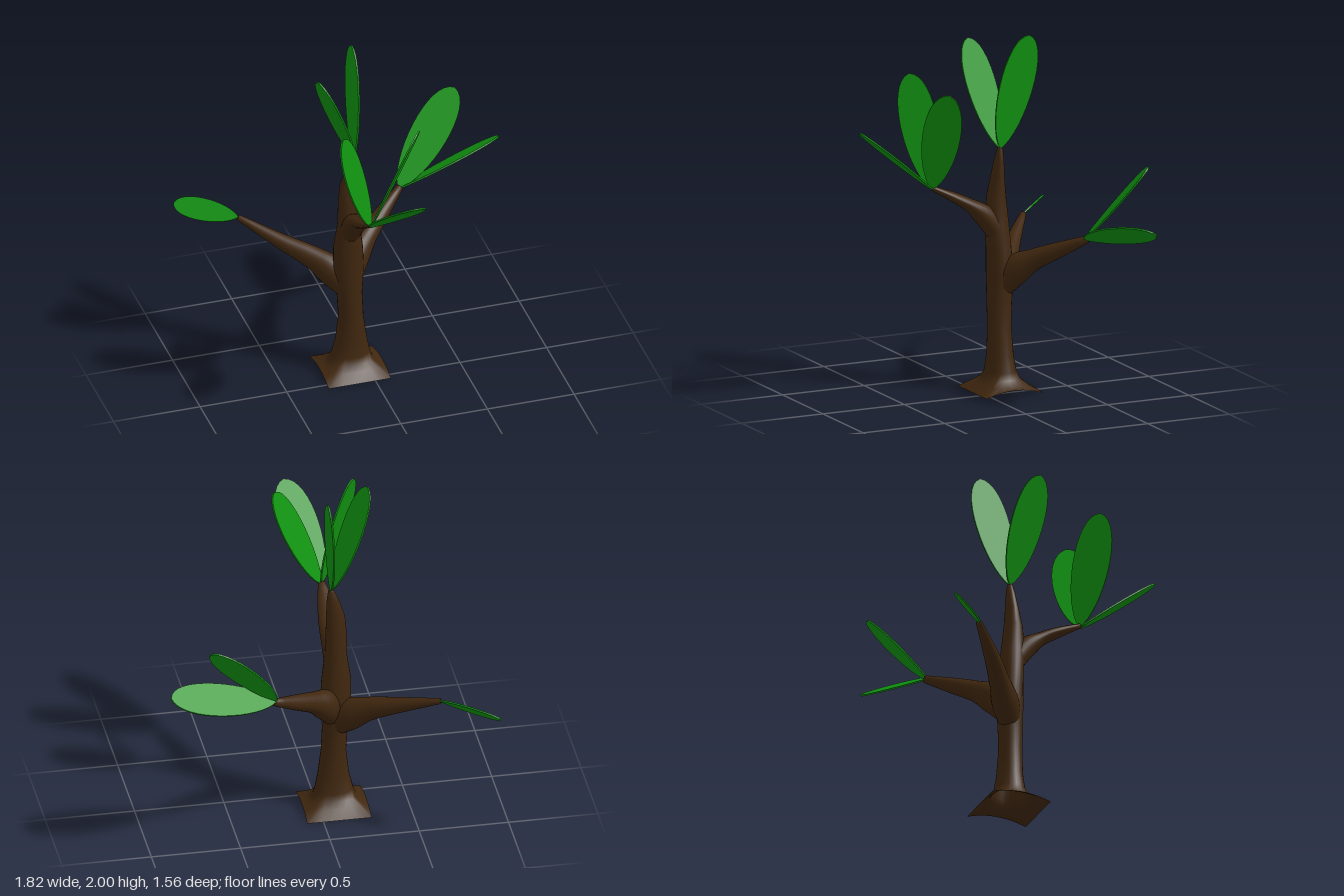
import * as THREE from 'three';

const SEG = 24;
const bark = new THREE.MeshStandardMaterial({ color: 0x40270f, side: THREE.DoubleSide });
bark.name = 'brown bark';
const green = new THREE.MeshStandardMaterial({ color: 0x119411 });
green.name = 'leaf green';

// Closed skin over a list of rings, each an array of SEG points
function skin(rings) {
  const pos = [], idx = [];
  rings.forEach((ring) => ring.forEach((p) => pos.push(p.x, p.y, p.z)));
  for (let i = 0; i < rings.length - 1; i++) {
    for (let j = 0; j < SEG; j++) {
      const k = (j + 1) % SEG;
      const a = i * SEG + j, b = a + SEG, c = i * SEG + k, d = c + SEG;
      idx.push(a, b, c, c, b, d);
    }
  }
  const g = new THREE.BufferGeometry();
  g.setAttribute('position', new THREE.Float32BufferAttribute(pos, 3));
  g.setIndex(idx);
  g.computeVertexNormals();
  return g;
}

const ringOf = (fn) => Array.from({ length: SEG }, (_, j) => {
  const a = (j / SEG) * Math.PI * 2;
  return fn(Math.cos(a), Math.sin(a));
});

// Trunk: square arched foot blending into a round tapering stem
function trunkGeometry() {
  // y, centre x, centre z, radius x, radius z, squareness
  const rows = [
    [0, -0.09, -0.135, 0.18, 0.175, 1],
    [0.042, -0.09, -0.135, 0.145, 0.125, 0.6],
    [0.072, -0.09, -0.135, 0.12, 0.096, 0.25],
    [0.11, -0.09, -0.133, 0.108, 0.085, 0],
    [0.2, -0.088, -0.13, 0.088, 0.072, 0],
    [0.35, -0.09, -0.127, 0.07, 0.066, 0],
    [0.5, -0.097, -0.13, 0.071, 0.07, 0],
    [0.65, -0.1, -0.135, 0.085, 0.075, 0],
    [0.8, -0.105, -0.13, 0.083, 0.068, 0],
    [0.95, -0.105, -0.118, 0.062, 0.068, 0],
    [1.1, -0.107, -0.117, 0.058, 0.052, 0],
    [1.2, -0.102, -0.122, 0.053, 0.036, 0],
    [1.3, -0.088, -0.124, 0.035, 0.026, 0],
    [1.365, -0.078, -0.125, 0.018, 0.015, 0],
    [1.375, -0.077, -0.125, 0.001, 0.001, 0],
  ];
  return skin(rows.map(([y, cx, cz, rx, rz, sq]) => ringOf((c, s) => {
    const f = 1 + sq * (1 / Math.max(Math.abs(c), Math.abs(s)) - 1);
    const arch = y === 0 ? 0.03 * (1 - Math.min(1, (s * f) ** 2)) : 0;
    return new THREE.Vector3(cx + c * f * rx, y + arch, cz + s * f * rz);
  })));
}

// Branch: tapered oval tube; each row is x, y, z, side radius, upright radius
function branchGeometry(rows) {
  const path = new THREE.CatmullRomCurve3(rows.map((r) => new THREE.Vector3(r[0], r[1], r[2])));
  const radii = new THREE.CatmullRomCurve3(rows.map((r) => new THREE.Vector3(r[3], r[4], 0)));
  const steps = 14, rings = [];
  for (let i = 0; i <= steps + 1; i++) {
    const t = Math.min(i / steps, 1);
    const p = path.getPoint(t), tan = path.getTangent(t), r = radii.getPoint(t);
    if (i > steps) r.multiplyScalar(0.02); // closed tip
    const u = tan.clone().cross(new THREE.Vector3(0, 1, 0)).normalize();
    const v = u.clone().cross(tan);
    rings.push(ringOf((c, s) => p.clone().addScaledVector(u, c * r.x).addScaledVector(v, s * r.y)));
  }
  return skin(rings);
}

// Leaf: thin oval blade from base to tip, spread along the across direction
function makeLeaf(base, tip, across, halfWidth = 0.105) {
  const b = new THREE.Vector3(...base);
  const d = new THREE.Vector3(...tip).sub(b);
  const len = d.length(), w = halfWidth / 0.75, thick = 0.009;
  const shape = new THREE.Shape();
  shape.moveTo(0, 0);
  shape.bezierCurveTo(w * 0.88, len * 0.18, w * 1.12, len * 0.95, 0, len);
  shape.bezierCurveTo(-w * 1.12, len * 0.95, -w * 0.88, len * 0.18, 0, 0);
  const g = new THREE.ExtrudeGeometry(shape, { depth: thick, bevelEnabled: false, curveSegments: 16 });
  g.translate(0, 0, -thick / 2);
  d.normalize();
  const x = new THREE.Vector3(...across);
  x.addScaledVector(d, -x.dot(d)).normalize();
  g.applyMatrix4(new THREE.Matrix4().makeBasis(x, d, x.clone().cross(d)).setPosition(b));
  return new THREE.Mesh(g, green);
}

export function createModel() {
  const tree = new THREE.Group();
  tree.name = 'tree';
  const add = (mesh, name) => { mesh.name = name; tree.add(mesh); };

  add(new THREE.Mesh(trunkGeometry(), bark), 'trunk');

  const branches = {
    rightBranch: [
      [-0.1, 0.52, -0.13, 0.06, 0.07], [-0.17, 0.605, -0.19, 0.075, 0.09],
      [-0.26, 0.67, -0.26, 0.058, 0.068], [-0.4, 0.735, -0.36, 0.045, 0.046],
      [-0.61, 0.838, -0.53, 0.018, 0.016],
    ],
    leftBranch: [
      [-0.09, 0.58, -0.13, 0.06, 0.07], [-0.03, 0.685, -0.2, 0.07, 0.085],
      [0.05, 0.75, -0.27, 0.055, 0.06], [0.16, 0.815, -0.36, 0.042, 0.045],
      [0.3, 0.895, -0.47, 0.02, 0.022],
    ],
    frontBranch: [
      [-0.1, 0.9, -0.11, 0.06, 0.06], [-0.1, 0.99, -0.04, 0.062, 0.06],
      [-0.1, 1.06, 0.05, 0.06, 0.037], [-0.105, 1.115, 0.15, 0.053, 0.028],
      [-0.1, 1.18, 0.28, 0.02, 0.014],
    ],
  };
  for (const [name, rows] of Object.entries(branches)) add(new THREE.Mesh(branchGeometry(rows), bark), name);

  // base, tip, across direction, half width
  const top = [-0.075, 1.365, -0.125], front = [-0.1, 1.17, 0.28], left = [0.29, 0.895, -0.46];
  const leaves = {
    topBackLeaf: [top, [-0.035, 2, -0.285], [0.006, 0.025, 0.1]],
    topRightLeaf: [top, [-0.3, 1.955, -0.035], [0.03, -0.004, 0.1]],
    frontMiddleLeaf: [front, [0.02, 1.565, 0.775], [0.1, -0.012, -0.015]],
    frontLeftLeaf: [front, [0.165, 1.762, 0.31], [0.05, -0.0225, -0.085]],
    frontRightLeaf: [front, [-0.285, 1.795, 0.33], [-0.06, -0.02, 0.08]],
    leftUpperLeaf: [left, [0.68, 1.36, -0.66], [0.071, -0.032, 0.065]],
    leftLowerLeaf: [left, [0.905, 1.05, -0.58], [0.004, 0.05, 0.09]],
    rightLeaf: [[-0.61, 0.84, -0.53], [-0.905, 0.835, -0.78], [0.028, 0.045, -0.034], 0.063],
  };
  for (const [name, args] of Object.entries(leaves)) add(makeLeaf(...args), name);

  return tree;
}
